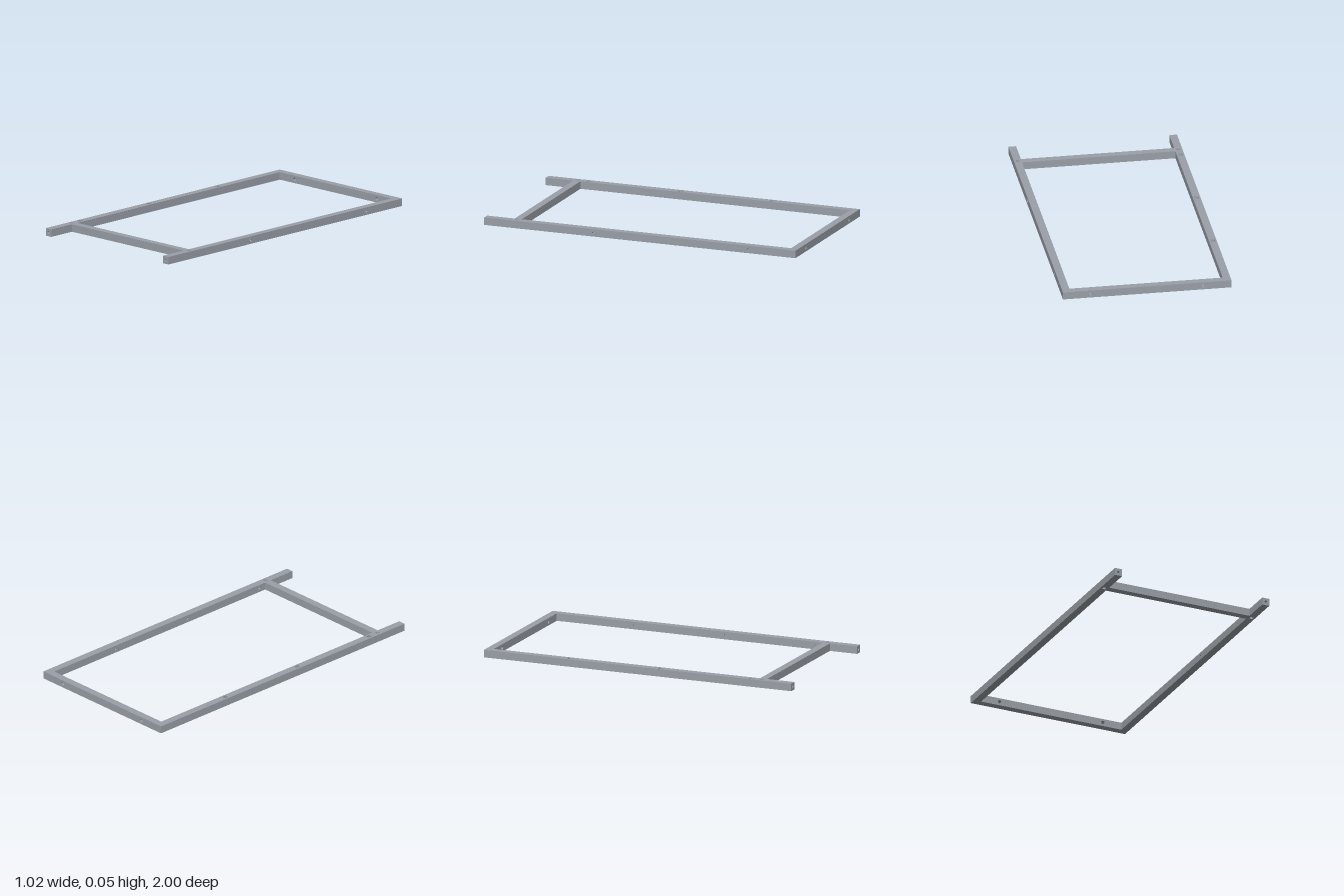
import * as THREE from 'three';

const T = 0.046;          // bar thickness
const X0 = -0.51, X1 = 0.507; // outer faces of the side rails
const MID = T / 2;
const LX = X1 - T / 2, RX = X0 + T / 2; // rail centre lines

const material = new THREE.MeshStandardMaterial({ color: 0x9aa0a8, side: THREE.DoubleSide });

// Each side of a bar: rotation taking +z to the outward direction
const SIDES = {
  front: [0, 0], back: [0, Math.PI], left: [0, Math.PI / 2], right: [0, -Math.PI / 2],
  top: [-Math.PI / 2, 0], bottom: [Math.PI / 2, 0],
};

function mesh(geometry, name) {
  const m = new THREE.Mesh(geometry, material);
  m.name = name;
  return m;
}

// Solid bar with drilled holes; hole positions are in model coordinates
function bar(name, size, centre, holes = []) {
  const group = new THREE.Group();
  group.name = name;
  const c = new THREE.Vector3(...centre);
  const [w, h, d] = size;
  for (const [side, [rx, ry]] of Object.entries(SIDES)) {
    const face = new THREE.Group();
    face.name = side + 'Face';
    face.rotation.set(rx, ry, 0);
    const [pw, ph, out] = rx ? [w, d, h] : Math.abs(Math.sin(ry)) > 0.5 ? [d, h, w] : [w, h, d];
    const shape = new THREE.Shape([[-1, -1], [1, -1], [1, 1], [-1, 1]]
      .map(([a, b]) => new THREE.Vector2(a * pw / 2, b * ph / 2)));
    const inverse = face.quaternion.clone().invert();
    for (const { on, at, r, depth, n = 20, floor = true } of holes) {
      if (!on.includes(side)) continue;
      const p = new THREE.Vector3(...at).sub(c).applyQuaternion(inverse);
      const rim = Array.from({ length: n }, (_, i) => {
        const a = Math.PI / 4 + (i / n) * Math.PI * 2;
        return new THREE.Vector2(p.x + r * Math.sin(a), p.y - r * Math.cos(a));
      });
      shape.holes.push(new THREE.Path(rim));
      // hole wall, and a floor when the hole is blind
      let wall = new THREE.CylinderGeometry(r, r, depth, n, 1, true, Math.PI / 4, Math.PI * 2).rotateX(Math.PI / 2);
      if (n === 4) {
        wall = wall.toNonIndexed();
        wall.computeVertexNormals();
      }
      wall.translate(p.x, p.y, out / 2 - depth / 2);
      face.add(mesh(wall, 'holeWall'));
      if (floor) {
        const disc = new THREE.ShapeGeometry(new THREE.Shape(rim));
        disc.translate(0, 0, out / 2 - depth);
        face.add(mesh(disc, 'holeFloor'));
      }
    }
    const panel = new THREE.ShapeGeometry(shape);
    panel.translate(0, 0, out / 2);
    face.add(mesh(panel, 'panel'));
    group.add(face);
  }
  group.position.copy(c);
  return group;
}

// Hole running right through a bar, made of two half-depth bores
const through = (on, at, r) => ({ on, at, r, depth: T / 2, floor: false });

export function createModel() {
  const model = new THREE.Group();
  model.name = 'frame';
  const stations = [-0.45, 0.14, 0.73];

  // Holes shared by both side rails: end bore and vertical pin hole
  const railHoles = (x) => [
    { on: ['front'], at: [x, MID, 1], r: 0.008, depth: 0.1 },
    through(['top', 'bottom'], [x, MID, 0.8], 0.012),
  ];

  // Right rail with square pockets along its top
  model.add(bar('rightRail', [T, T, 2], [RX, MID, 0], [
    ...railHoles(RX),
    ...stations.map((z) => ({ on: ['top'], at: [RX, T, z], r: 0.019, depth: 0.015, n: 4 })),
  ]));

  // Left rail with side bores and small blind holes on its inner face
  model.add(bar('leftRail', [T, T, 2], [LX, MID, 0], [
    ...railHoles(LX),
    { on: ['left'], at: [X1, MID, 0.298], r: 0.008, depth: 0.025 },
    { on: ['left'], at: [X1, MID, -0.695], r: 0.008, depth: 0.025 },
    ...stations.map((z) => ({ on: ['right'], at: [LX, MID, z], r: 0.007, depth: 0.015 })),
  ]));

  // Cross bars between the rails
  const span = X1 - X0 - 2 * T, cx = (X0 + X1) / 2;
  model.add(bar('backBar', [span, T, T], [cx, MID, -1 + T / 2],
    [-0.34, 0.34].map((x) => through(['front', 'back'], [x, MID, -1 + T / 2], 0.011))));
  model.add(bar('frontCrossBar', [span, T, T], [cx, MID, 0.8]));

  // Low collar around the bore on the left rail
  const collar = new THREE.LatheGeometry(
    [[0.008, 0], [0.008, 0.003], [0.014, 0.003], [0.014, 0]].map(([r, y]) => new THREE.Vector2(r, y)), 20)
    .toNonIndexed();
  collar.computeVertexNormals();
  collar.rotateZ(-Math.PI / 2).translate(X1, MID, 0.298);
  model.add(mesh(collar, 'boreCollar'));

  return model;
}
